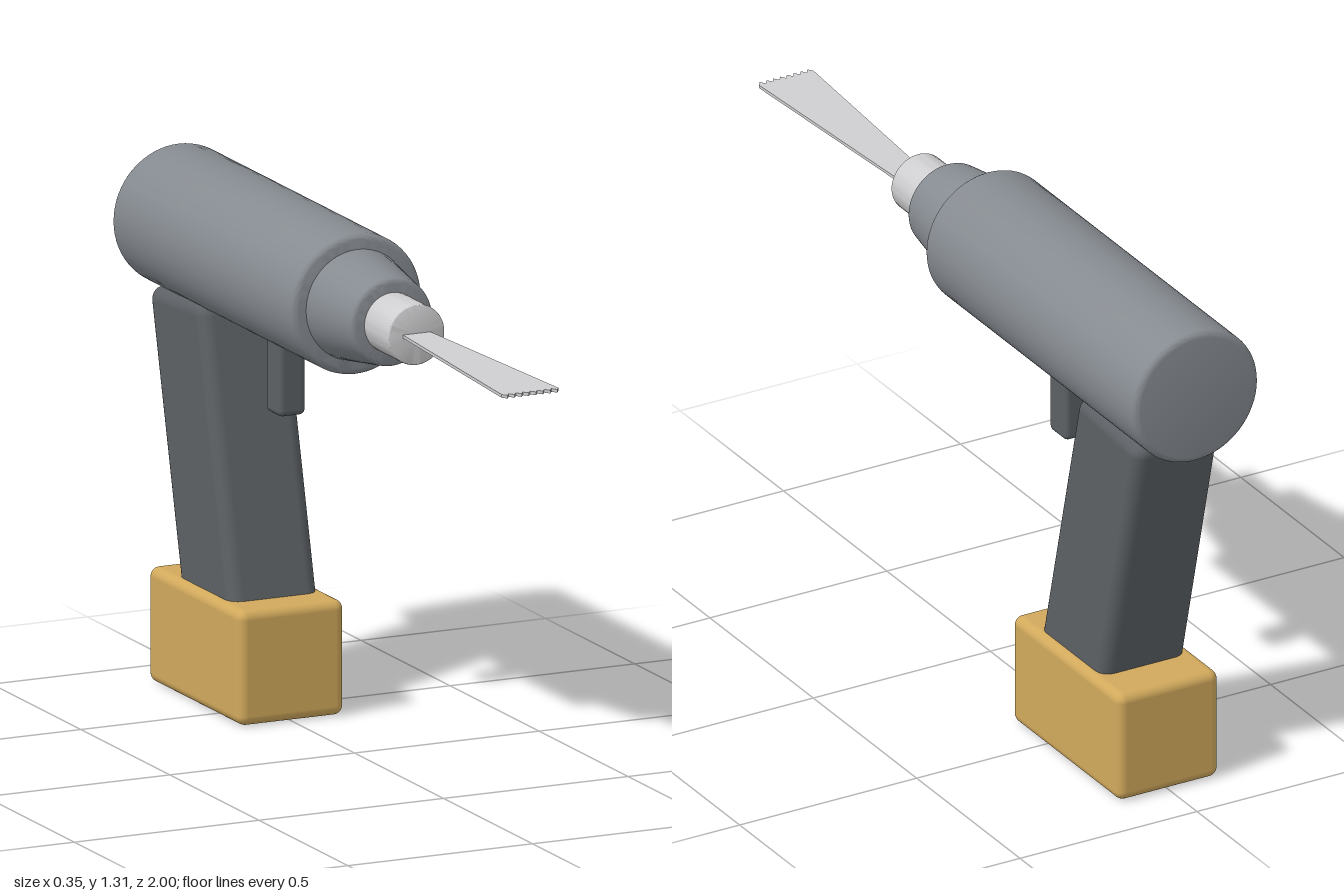
import * as THREE from 'three';
import { toCreasedNormals } from 'three/addons/utils/BufferGeometryUtils.js';
import { RoundedBoxGeometry } from 'three/addons/geometries/RoundedBoxGeometry.js';

const AXIS_Y = 1.132; // height of the barrel axis

function material(name, color) {
  const m = new THREE.MeshStandardMaterial({ color });
  m.name = name;
  return m;
}

function part(name, geometry, mat) {
  const mesh = new THREE.Mesh(geometry, mat);
  mesh.name = name;
  return mesh;
}

// Turned solid along z, with rounded rims at both ends
function barrel(z0, r0, z1, r1, bevel) {
  const pts = [new THREE.Vector2(0, z0)];
  const steps = 5;
  for (let i = 0; i <= steps; i++) {
    const a = (i / steps) * Math.PI / 2;
    pts.push(new THREE.Vector2(r0 - bevel + bevel * Math.sin(a), z0 + bevel - bevel * Math.cos(a)));
  }
  for (let i = 0; i <= steps; i++) {
    const a = (i / steps) * Math.PI / 2;
    pts.push(new THREE.Vector2(r1 - bevel + bevel * Math.cos(a), z1 - bevel + bevel * Math.sin(a)));
  }
  pts.push(new THREE.Vector2(0, z1));
  const g = new THREE.LatheGeometry(pts, 64);
  g.rotateX(Math.PI / 2);
  g.translate(0, AXIS_Y, 0);
  return toCreasedNormals(g, Math.PI / 6);
}

// Rounded block given by its limits
function block(w, y0, y1, z0, z1, radius) {
  const g = new RoundedBoxGeometry(w, y1 - y0, z1 - z0, 4, radius);
  g.translate(0, (y0 + y1) / 2, (z0 + z1) / 2);
  return g;
}

// Flared flat blade with a saw-toothed tip
function bladeGeometry() {
  const thick = 0.008, half = 0.077, teeth = 8;
  const s = new THREE.Shape();
  s.moveTo(-0.036, 0.33);
  s.lineTo(0.036, 0.33);
  s.lineTo(half, 0.986);
  for (let i = 0; i < teeth; i++) {
    const step = (2 * half) / teeth;
    s.lineTo(half - (i + 0.5) * step, 1);
    s.lineTo(half - (i + 1) * step, 0.986);
  }
  s.closePath();
  const g = new THREE.ExtrudeGeometry(s, { depth: thick, bevelEnabled: false });
  g.rotateX(Math.PI / 2);
  g.translate(0, AXIS_Y + thick / 2, 0);
  return g;
}

// Grip: rounded block sheared backwards, with a slightly sloping top
function gripGeometry() {
  const g = new RoundedBoxGeometry(0.24, 0.75, 0.302, 4, 0.035);
  g.applyMatrix4(new THREE.Matrix4().set(
    1, 0, 0, 0,
    0, 1, 0.07, 0.617,
    0, -0.25, 1, -0.677,
    0, 0, 0, 1
  ));
  return g;
}

export function createModel() {
  const grey = material('housing grey', 0x868b91);
  const dark = material('grip dark grey', 0x5c6064);
  const yellow = material('battery yellow', 0xd1a95c);
  const steel = material('steel', 0xcfcfd1);

  const model = new THREE.Group();
  model.name = 'cordlessTool';
  model.add(
    part('housing', barrel(-1, 0.177, 0.018, 0.177, 0.018), grey),
    part('nose', barrel(0, 0.14, 0.214, 0.112, 0.015), grey),
    part('chuck', barrel(0.19, 0.076, 0.35, 0.076, 0.004), steel),
    part('blade', bladeGeometry(), steel),
    part('grip', gripGeometry(), dark),
    part('trigger', block(0.074, 0.768, 1.02, -0.427, -0.345, 0.015), dark),
    part('battery', block(0.286, 0, 0.29, -0.867, -0.347, 0.024), yellow)
  );
  return model;
}
